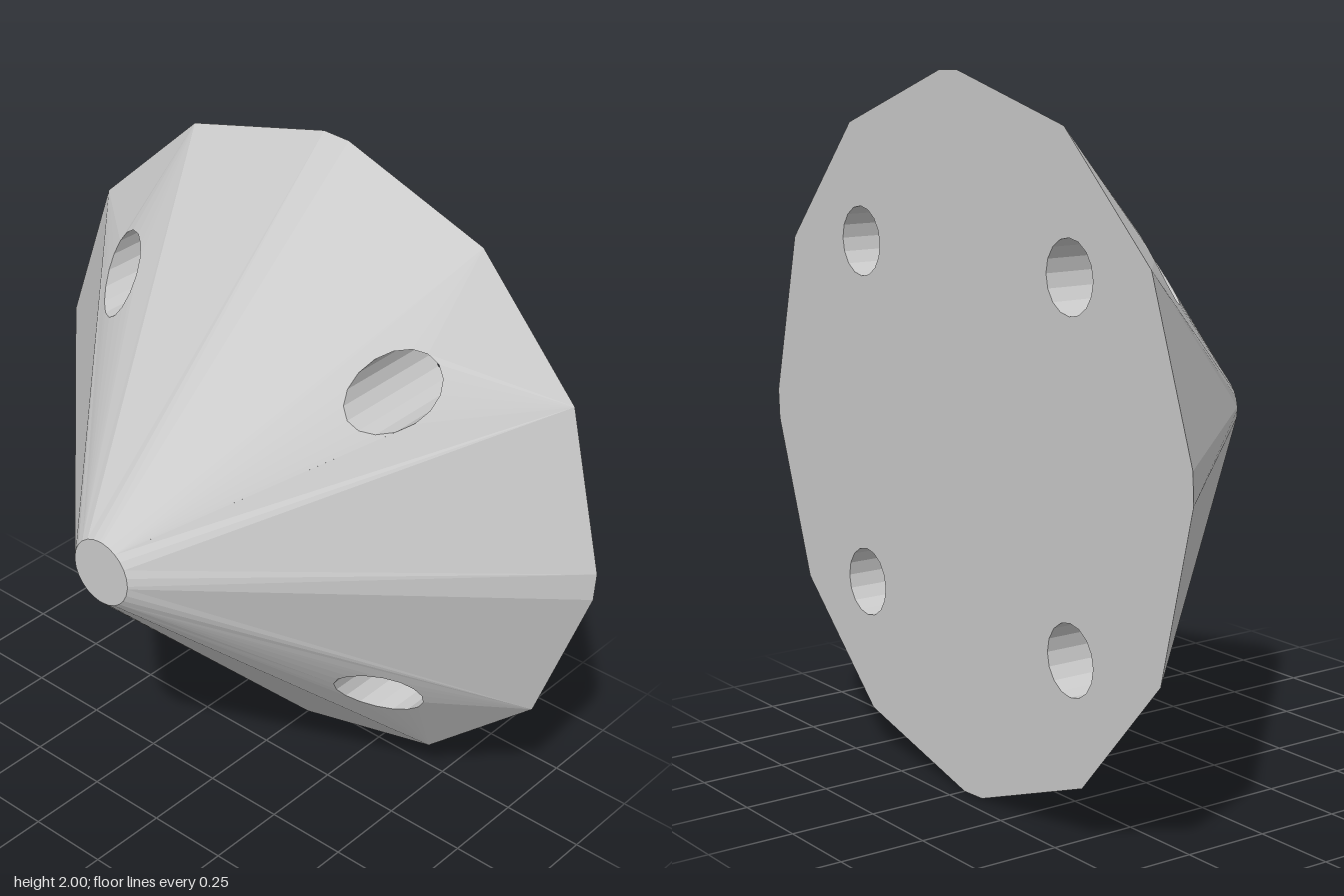
import * as THREE from 'three';
import { mergeGeometries } from 'three/addons/utils/BufferGeometryUtils.js';

const BACK = -0.45, FRONT = 0.45, TIP_R = 0.1, HOLE_R = 0.1, HOLE_SIDES = 16;
const HOLES = [[0.5, 0.5], [-0.5, 0.5], [-0.5, -0.5], [0.5, -0.5]];

const polar = (r, deg) => {
  const a = THREE.MathUtils.degToRad(deg);
  return new THREE.Vector2(r * Math.cos(a), r * Math.sin(a));
};

// Depth of the 45 degree cone at a point
const coneZ = (x, y) => FRONT + TIP_R - Math.hypot(x, y);

// Irregular rim: four corners per quarter turn
const rimAngles = [];
for (let q = 0; q < 4; q++) for (const a of [0, 28.6, 56.5, 85]) rimAngles.push(q * 90 + a);

function holePath([cx, cy]) {
  const pts = [];
  for (let i = 0; i < HOLE_SIDES; i++) {
    pts.push(polar(HOLE_R, (i * 360) / HOLE_SIDES).add(new THREE.Vector2(cx, cy)));
  }
  return new THREE.Path(pts);
}

// Lift the front points of a geometry onto the cone
function liftToCone(geo) {
  const p = geo.attributes.position;
  for (let i = 0; i < p.count; i++) {
    if (p.getZ(i) >= 0) p.setZ(i, coneZ(p.getX(i), p.getY(i)));
  }
  geo.computeVertexNormals();
  return geo;
}

export function createModel() {
  const model = new THREE.Group();
  model.name = 'drilledCone';
  const body = new THREE.Group();
  body.position.y = 1;
  model.add(body);
  const material = new THREE.MeshStandardMaterial({ color: 0xcccccc, flatShading: true });
  const add = (name, geo) => {
    const mesh = new THREE.Mesh(geo, material);
    mesh.name = name;
    body.add(mesh);
  };

  // Cone skin, one wedge per rim edge; wide wedges on the diagonals hold a hole
  const tip = [];
  const wedges = rimAngles.map((a, i) => {
    const b = i + 1 < rimAngles.length ? rimAngles[i + 1] : 360;
    const steps = b - a > 10 ? 2 : 1;
    const arc = [];
    for (let s = 0; s <= steps; s++) arc.push(polar(TIP_R, a + ((b - a) * s) / steps));
    tip.push(...arc.slice(0, -1));
    const wedge = new THREE.Shape([polar(1, a), polar(1, b), ...arc.reverse()]);
    if (i % 4 === 1) wedge.holes.push(holePath(HOLES[(i - 1) / 4]));
    return liftToCone(new THREE.ShapeGeometry(wedge));
  });
  add('coneSkin', mergeGeometries(wedges));

  // Flat round tip
  add('tipFace', new THREE.ShapeGeometry(new THREE.Shape(tip)).translate(0, 0, FRONT));

  // Flat back, drawn mirrored and turned to face backwards
  const back = new THREE.Shape(rimAngles.map((a) => polar(1, 180 - a)));
  back.holes = HOLES.map(holePath);
  add('backFace', new THREE.ShapeGeometry(back).rotateY(Math.PI).translate(0, 0, BACK));

  // Hole walls, turned inside out and trimmed to the cone
  for (const [x, y] of HOLES) {
    const wall = new THREE.CylinderGeometry(HOLE_R, HOLE_R, -2 * BACK, HOLE_SIDES, 1, true);
    wall.rotateX(Math.PI / 2).scale(-1, 1, 1).translate(x, y, 0);
    add('holeWall', liftToCone(wall));
  }
  return model;
}
